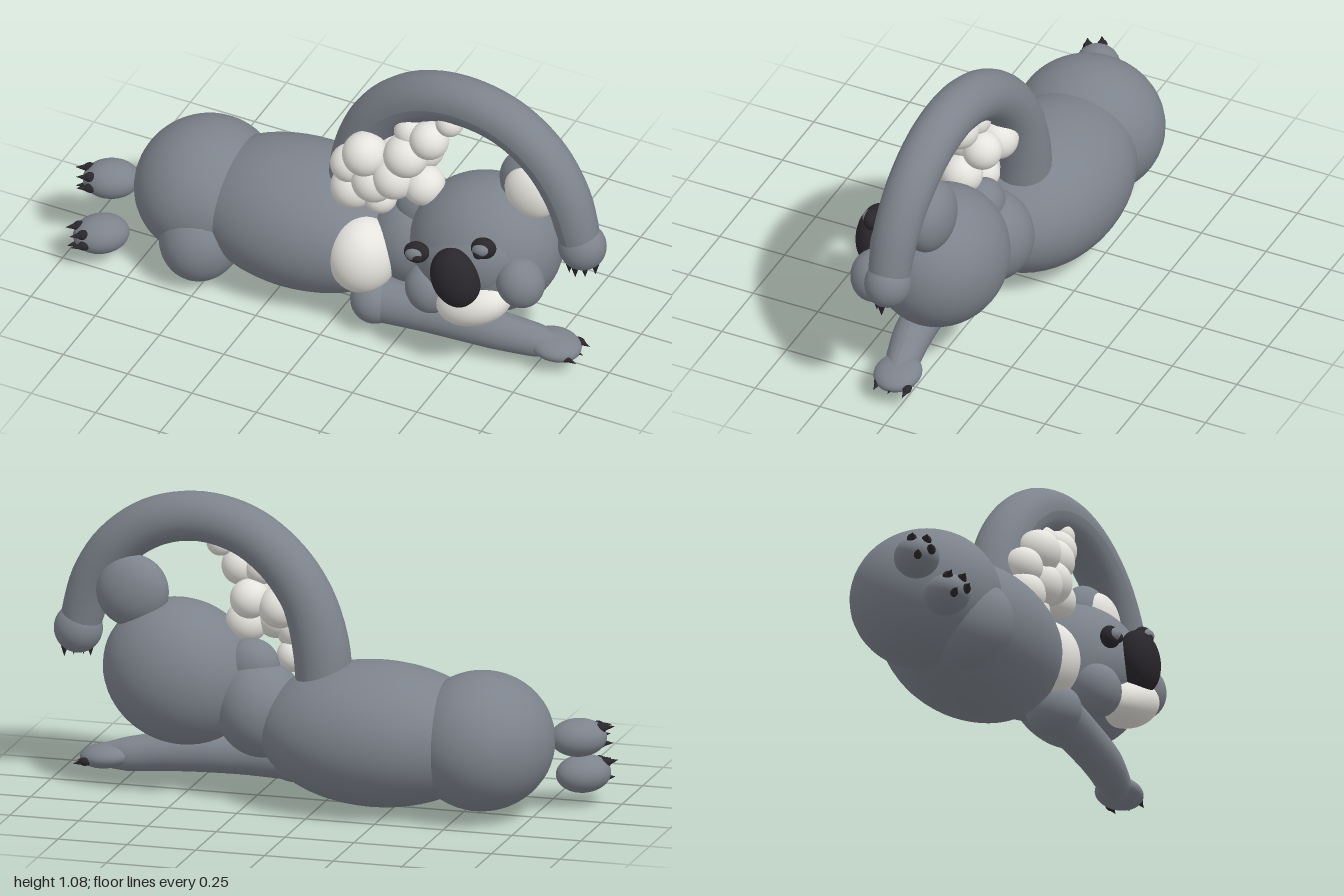
import * as THREE from 'three';

const paint = (color) => new THREE.MeshStandardMaterial({ color });
const FUR = paint(0x7d838c), WHITE = paint(0xe6e4de), DARK = paint(0x2a272c);
const V = (a) => new THREE.Vector3(...a);

export function createModel() {
  const model = new THREE.Group();

  const add = (name, geometry, material, parent = model) => {
    const mesh = new THREE.Mesh(geometry, material);
    mesh.name = name;
    parent.add(mesh);
    return mesh;
  };

  // Smooth ellipsoid: centre, radii, rotation
  const blob = (name, pos, radii, material = FUR, rot = [0, 0, 0], parent = model) => {
    const mesh = add(name, new THREE.SphereGeometry(1, 40, 28), material, parent);
    mesh.position.set(...pos);
    mesh.scale.set(...radii);
    mesh.rotation.set(...rot);
    return mesh;
  };

  // Pointed claw from a base position along a direction
  const claw = (name, pos, dir, length, radius = 0.017, parent = model) => {
    const geo = new THREE.ConeGeometry(radius, length, 12).translate(0, length / 2, 0);
    const mesh = add(name, geo, DARK, parent);
    mesh.position.set(...pos);
    mesh.quaternion.setFromUnitVectors(new THREE.Vector3(0, 1, 0), V(dir).normalize());
    return mesh;
  };

  // Tapered limb: each row of path is x, y, z, radius
  const limb = (name, path) => {
    const curve = new THREE.CatmullRomCurve3(path.map((p) => V(p)));
    const seg = 48, sides = 24;
    const geo = new THREE.TubeGeometry(curve, seg, 1, sides);
    const pos = geo.attributes.position, v = new THREE.Vector3();
    for (let i = 0; i <= seg; i++) {
      const t = curve.getUtoTmapping(i / seg) * (path.length - 1);
      const k = Math.min(Math.floor(t), path.length - 2);
      const r = THREE.MathUtils.lerp(path[k][3], path[k + 1][3], t - k);
      const c = curve.getPointAt(i / seg);
      for (let j = 0; j <= sides; j++) {
        const n = i * (sides + 1) + j;
        v.fromBufferAttribute(pos, n).sub(c).multiplyScalar(r).add(c);
        pos.setXYZ(n, v.x, v.y, v.z);
      }
    }
    geo.computeVertexNormals();
    return add(name, geo, FUR);
  };

  // Body lying on its side
  blob('torso', [-0.2, 0.275, -0.04], [0.43, 0.255, 0.29]);
  blob('hips', [-0.575, 0.275, -0.03], [0.255, 0.245, 0.268]);
  blob('thigh', [-0.53, 0.17, 0.11], [0.145, 0.165, 0.167]);
  blob('neck', [0.23, 0.33, -0.03], [0.16, 0.175, 0.16], FUR, [0, 0, -0.3]);
  blob('chestPatch', [0.09, 0.29, 0.1], [0.125, 0.145, 0.13], WHITE);

  // Feet with toe claws
  for (const [name, x, y, z, turn] of [['upperFoot', -0.89, 0.28, 0.09, 0.5], ['lowerFoot', -0.875, 0.12, 0.2, 0.75]]) {
    const foot = new THREE.Group();
    foot.name = name;
    foot.position.set(x, y, z);
    foot.rotation.y = turn;
    model.add(foot);
    blob('footPad', [0, 0, 0], [0.1, 0.067, 0.08], FUR, [0, 0, 0], foot);
    for (const [cy, cz] of [[0.035, -0.02], [0.03, 0.03], [-0.005, 0.045], [-0.025, 0]]) {
      blob('toe', [-0.075, cy, cz], [0.022, 0.018, 0.018], DARK, [0, 0, 0], foot);
      claw('toeClaw', [-0.08, cy, cz], [-1, cy * 2, 0], 0.045, 0.015, foot);
    }
  }

  // Lower arm stretched along the ground
  limb('lowerArm', [[0.15, 0.125, 0.11, 0.085], [0.35, 0.125, 0.1, 0.076], [0.6, 0.115, 0.08, 0.07],
    [0.74, 0.1, 0.055, 0.06], [0.83, 0.094, 0.04, 0.04]]);
  blob('lowerShoulder', [0.15, 0.125, 0.11], [0.09, 0.09, 0.1]);
  blob('lowerHand', [0.81, 0.094, 0.04], [0.095, 0.043, 0.083], FUR, [0, 0, -0.1]);
  for (const z of [-0.025, 0.03, 0.085]) {
    blob('lowerFinger', [0.87, 0.083, z], [0.022, 0.015, 0.015], DARK);
    claw('lowerHandClaw', [0.875, 0.083, z], [1, -0.3, 0], 0.04, 0.013);
  }

  // Raised arm arching over the head
  limb('raisedArm', [[-0.01, 0.42, -0.05, 0.1], [0.005, 0.58, -0.05, 0.1], [0.05, 0.73, -0.045, 0.095],
    [0.14, 0.86, -0.035, 0.092], [0.28, 0.96, -0.02, 0.09], [0.45, 0.997, -0.005, 0.088],
    [0.62, 0.965, 0.005, 0.087], [0.76, 0.87, 0.015, 0.085], [0.85, 0.74, 0.025, 0.081],
    [0.89, 0.62, 0.03, 0.076], [0.905, 0.55, 0.03, 0.07]]);
  blob('raisedHand', [0.91, 0.55, 0.03], [0.086, 0.088, 0.082]);
  for (const [x, z] of [[0.875, 0.06], [0.905, 0.075], [0.935, 0.06], [0.96, 0.03]]) {
    claw('raisedHandClaw', [x, 0.487, z], [(x - 0.91) * 0.5, -1, 0], 0.045, 0.015);
  }

  // Fluffy underside of the raised arm: x, y, z, radius
  for (const [x, y, z, r] of [[0.03, 0.53, 0.05, 0.08], [0.02, 0.63, 0.055, 0.07], [0.09, 0.71, 0.08, 0.08],
    [0.12, 0.6, 0.07, 0.08], [0.2, 0.64, 0.07, 0.08], [0.24, 0.74, 0.06, 0.08], [0.3, 0.62, 0.04, 0.075],
    [0.32, 0.82, 0.04, 0.07], [0.24, 0.82, 0.02, 0.06], [0.39, 0.905, 0.02, 0.05], [0.13, 0.51, 0.04, 0.06],
    [0.16, 0.7, -0.03, 0.075], [0.27, 0.72, -0.025, 0.07]]) {
    blob('armFluff', [x, y, z], [r, r, r], WHITE);
  }

  // Head and face, tilted to one side
  const head = new THREE.Group();
  head.name = 'head';
  head.position.set(0.53, 0.43, 0);
  head.rotation.z = 0.38;
  model.add(head);
  const face = (name, pos, radii, material = FUR, rot = [0, 0, 0]) => blob(name, pos, radii, material, rot, head);
  face('skull', [0, 0, 0.01], [0.28, 0.255, 0.235]);
  face('faceFront', [0, 0.01, 0.09], [0.23, 0.17, 0.165]);
  face('muzzle', [-0.01, -0.13, 0.19], [0.145, 0.085, 0.105], WHITE);
  face('nose', [0, 0.005, 0.255], [0.09, 0.115, 0.073], DARK, [0, 0, -0.12]);
  for (const s of [-1, 1]) {
    face('cheek', [s * 0.19, -0.08, 0.165], [0.085, 0.095, 0.085]);
    face('eye', [s * 0.14, 0.1, 0.225], [0.048, 0.04, 0.032], DARK);
    face('eyelid', [s * 0.14, 0.104, 0.238], [0.036, 0.026, 0.026], FUR);
    face('pupil', [s * 0.128, 0.092, 0.252], [0.018, 0.018, 0.014], DARK);
  }

  // Ears: one stands up, the other is pressed against the shoulder
  face('upperEar', [0.26, 0.205, -0.03], [0.13, 0.13, 0.085]);
  face('upperEarInner', [0.268, 0.195, 0.02], [0.098, 0.105, 0.06], WHITE);
  face('lowerEar', [-0.23, 0.14, -0.02], [0.1, 0.1, 0.08]);

  return model;
}
